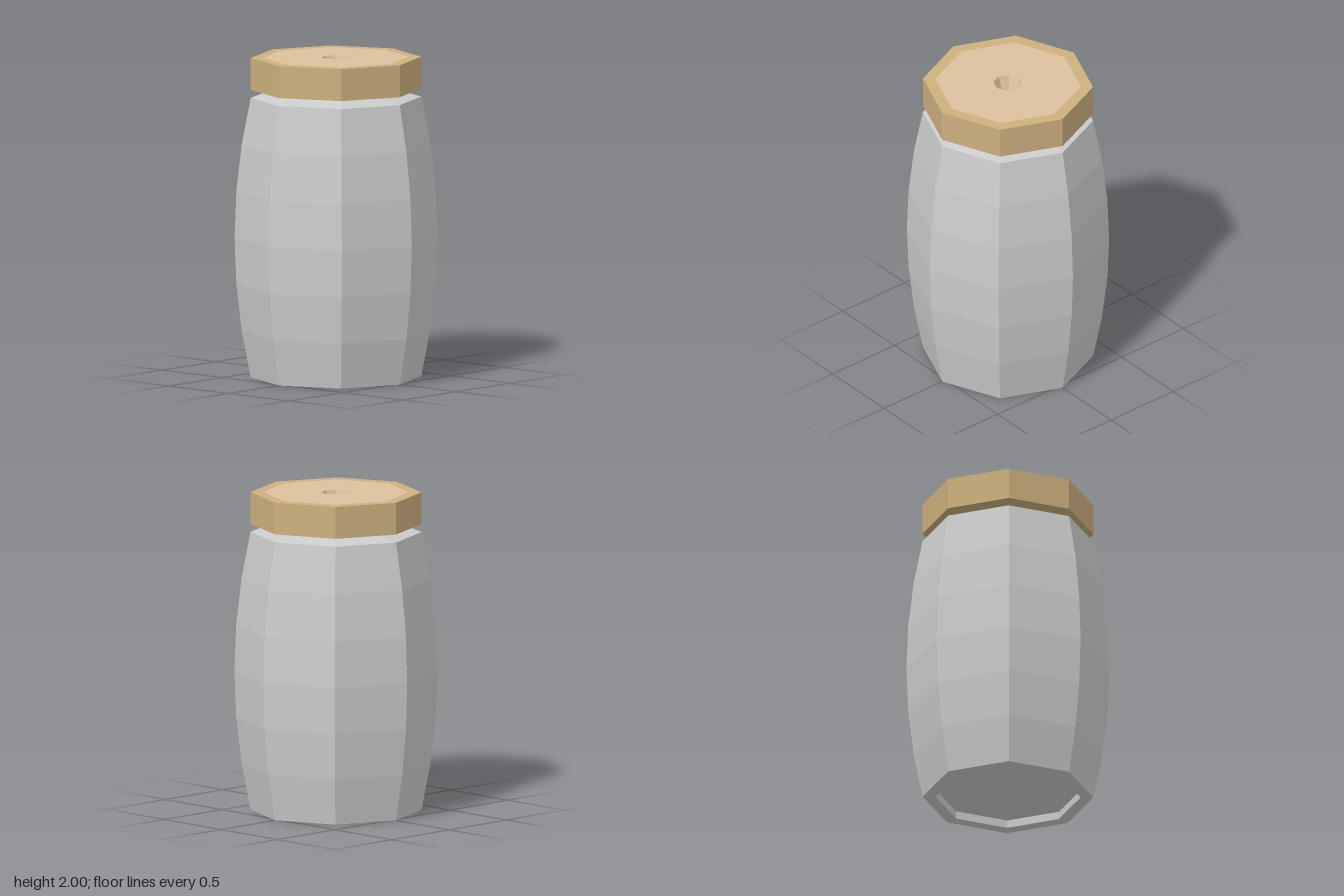
import * as THREE from 'three';

const SIDES = 8;
const glass = new THREE.MeshStandardMaterial({ color: 0xcccccc, flatShading: true });
const wood = new THREE.MeshStandardMaterial({ color: 0xcdb07e, flatShading: true });
const paleWood = new THREE.MeshStandardMaterial({ color: 0xdcc19e, flatShading: true });

// Turns [radius, height] pairs, listed so the outside climbs, into a faceted part
function turned(name, profile, material) {
  const points = profile.map(([r, y]) => new THREE.Vector2(r, y));
  const geometry = new THREE.LatheGeometry(points, SIDES).toNonIndexed();
  geometry.computeVertexNormals();
  const mesh = new THREE.Mesh(geometry, material);
  mesh.name = name;
  return mesh;
}

export function createModel() {
  const group = new THREE.Group();
  group.name = 'jar';

  // Bulging wall in six bands, widest at half height
  const height = 1.75, bands = 6, wall = [];
  for (let i = 0; i <= bands; i++) {
    const t = (2 * i) / bands - 1;
    wall.push([0.53 + 0.1 * (1 - t * t), (height * i) / bands]);
  }

  // Body: recessed base, foot ring, wall, sloping shoulder and neck
  group.add(turned('body', [
    [0, 0.05], [0.45, 0.05], [0.45, 0],
    ...wall,
    [0.4, 1.775], [0.37, 1.8],
  ], glass));

  // Lid: underside, side and top border
  group.add(turned('lid', [[0, 1.8], [0.53, 1.8], [0.53, 2], [0.453, 2]], wood));

  // Flush pale panel with a tapered finger hole
  group.add(turned('lidPanel', [[0.453, 2], [0.09, 2], [0.055, 1.9], [0, 1.9]], paleWood));

  return group;
}
